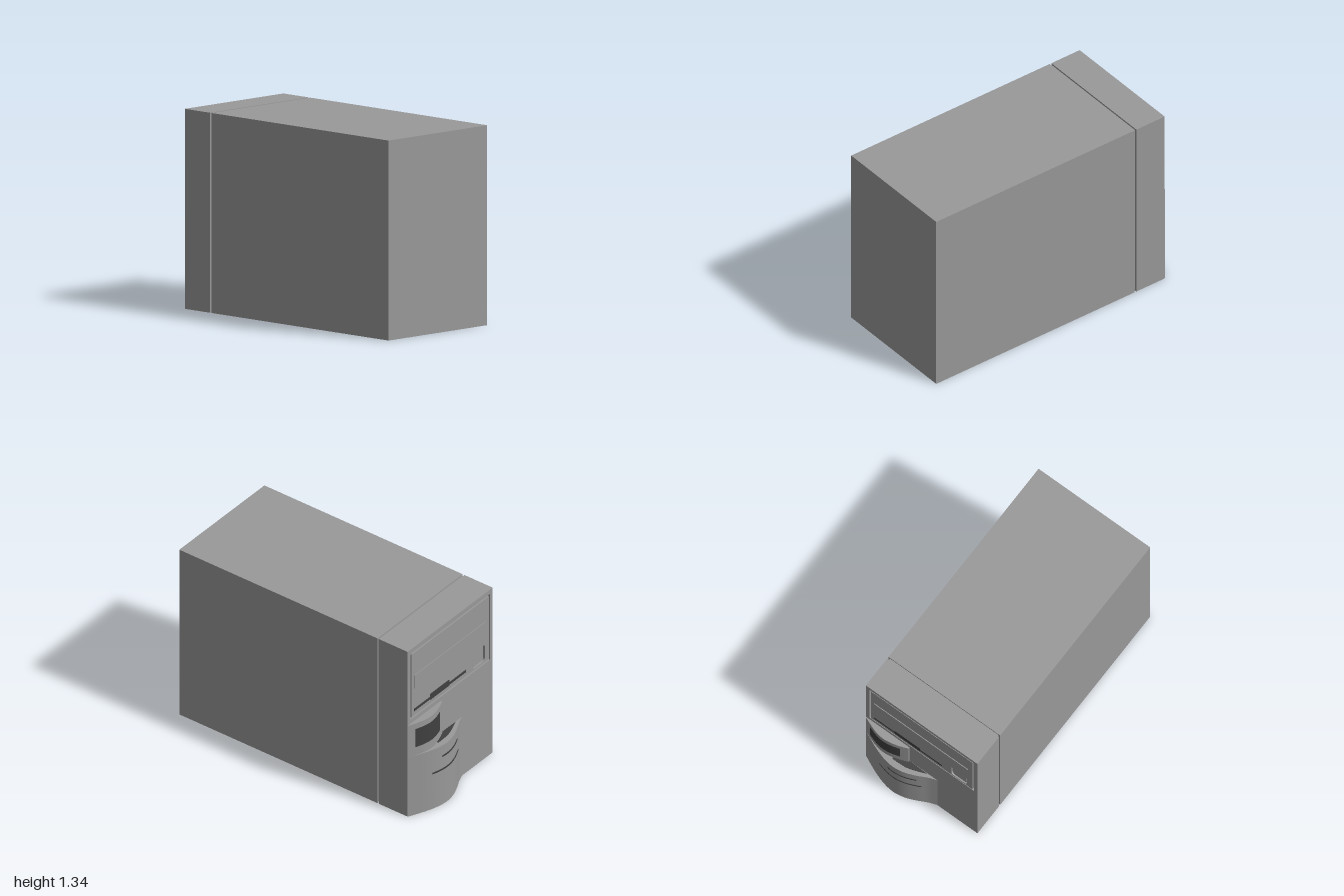
import * as THREE from 'three';
import { toCreasedNormals } from 'three/addons/utils/BufferGeometryUtils.js';

export function createModel() {
  const model = new THREE.Group();
  model.name = 'computerTower';

  const caseGrey = new THREE.MeshStandardMaterial({ color: 0x999999 });
  caseGrey.name = 'case grey';
  const darkGrey = new THREE.MeshStandardMaterial({ color: 0x404040 });
  darkGrey.name = 'dark grey';

  const W = 0.46, H = 1.335, FACE = -0.9;

  function add(name, geometry, material = caseGrey) {
    const mesh = new THREE.Mesh(geometry, material);
    mesh.name = name;
    model.add(mesh);
    return mesh;
  }

  // Box given by its limits on each axis
  function box(name, x0, x1, y0, y1, z0, z1, material) {
    const mesh = add(name, new THREE.BoxGeometry(x1 - x0, y1 - y0, z1 - z0), material);
    mesh.position.set((x0 + x1) / 2, (y0 + y1) / 2, (z0 + z1) / 2);
  }

  // Rectangle outline with optionally rounded corners
  function rect(x0, x1, y0, y1, r = 0, Type = THREE.Shape) {
    const s = new Type();
    if (!r) {
      s.moveTo(x0, y0).lineTo(x1, y0).lineTo(x1, y1).lineTo(x0, y1).closePath();
      return s;
    }
    s.moveTo(x0 + r, y0);
    s.lineTo(x1 - r, y0).quadraticCurveTo(x1, y0, x1, y0 + r);
    s.lineTo(x1, y1 - r).quadraticCurveTo(x1, y1, x1 - r, y1);
    s.lineTo(x0 + r, y1).quadraticCurveTo(x0, y1, x0, y1 - r);
    s.lineTo(x0, y0 + r).quadraticCurveTo(x0, y0, x0 + r, y0);
    return s;
  }

  // Flat plate extruded along z
  function plate(name, shape, z0, z1, material) {
    const g = new THREE.ExtrudeGeometry(shape, { depth: z1 - z0, bevelEnabled: false, curveSegments: 6 });
    add(name, g, material).position.z = z0;
  }

  // Upright prism from a plan outline of (x, depth behind centre) points
  function prism(name, points, y0, y1, material) {
    let g = new THREE.ExtrudeGeometry(new THREE.Shape(points), { depth: y1 - y0, bevelEnabled: false });
    g.rotateX(-Math.PI / 2);
    g = toCreasedNormals(g, 0.5);
    add(name, g, material).position.y = y0;
  }

  const spline = (list) =>
    new THREE.SplineCurve(list.map(([x, d]) => new THREE.Vector2(x, d))).getPoints(40);

  // Prism between a curved front and the flat face
  function bulge(name, curve, y0, y1) {
    const first = curve[0], last = curve[curve.length - 1];
    prism(name, [new THREE.Vector2(first.x, 0.895), ...curve,
      new THREE.Vector2(last.x, 0.895)].reverse(), y0, y1);
  }

  // Thin strip that hugs a curved front between two x positions
  function strip(name, curve, x0, x1, y0, y1) {
    const part = curve.filter((p) => p.x >= x0 && p.x <= x1);
    const outer = part.map((p) => new THREE.Vector2(p.x, p.y + 0.003));
    const inner = part.map((p) => new THREE.Vector2(p.x, p.y - 0.003));
    prism(name, [...inner, ...outer.reverse()], y0, y1, darkGrey);
  }

  // Main case, recessed seam and bezel block
  box('mainCase', -W, W, 0, H, -0.65, 1);
  box('seamCore', -W + 0.012, W - 0.012, 0.012, H - 0.012, -0.67, -0.645);
  box('bezelBlock', -W, W, 0, H, -0.885, -0.664);

  // Bezel face with an opening for the drive panel
  const face = rect(-W, W, 0, H);
  face.holes.push(rect(-0.43, 0.43, 0.768, 1.3, 0, THREE.Path));
  plate('bezelFace', face, FACE, -0.885);

  // Drive panel sits in the opening with a narrow groove around it
  const panel = rect(-0.418, 0.418, 0.78, 1.288);
  panel.holes.push(rect(-0.375, -0.245, 0.792, 0.925, 0.025, THREE.Path));
  plate('drivePanel', panel, FACE, -0.885);
  plate('ejectButton', rect(-0.365, -0.255, 0.802, 0.915, 0.02), -0.893, -0.885);
  box('driveDoor', -0.384, 0.39, 1.0, 1.106, -0.905, FACE + 0.001);
  box('driveSlot', -0.17, 0.39, 0.815, 0.835, -0.902, -0.897, darkGrey);
  box('driveSlotGrip', 0.013, 0.22, 0.81, 0.857, -0.903, -0.897, darkGrey);

  // Lower curved cover
  const lower = spline([[-0.13, 0.9], [-0.07, 0.922], [0, 0.957], [0.08, 0.988], [0.16, 1],
    [0.24, 0.99], [0.32, 0.965], [0.39, 0.935], [0.457, 0.903]]);
  bulge('lowerCover', lower, 0, 0.477);
  strip('upperVent', lower, 0, 0.22, 0.385, 0.397);
  strip('lowerVent', lower, -0.03, 0.3, 0.28, 0.292);

  // Dark crescent on the ledge between the covers
  const crescent = spline([[-0.05, 0.904], [0.03, 0.935], [0.1, 0.953], [0.2, 0.957]]);
  prism('ledgeInset', [new THREE.Vector2(0.2, 0.9), ...crescent.reverse()].reverse(),
    0.474, 0.48, darkGrey);

  // Upper curved cover with its dark window
  const upper = spline([[0.1, 0.912], [0.16, 0.934], [0.22, 0.95], [0.28, 0.956],
    [0.34, 0.947], [0.4, 0.927], [0.457, 0.903]]);
  bulge('upperCover', upper, 0.47, 0.735);
  strip('window', upper, 0.15, 0.41, 0.545, 0.69);

  return model;
}
